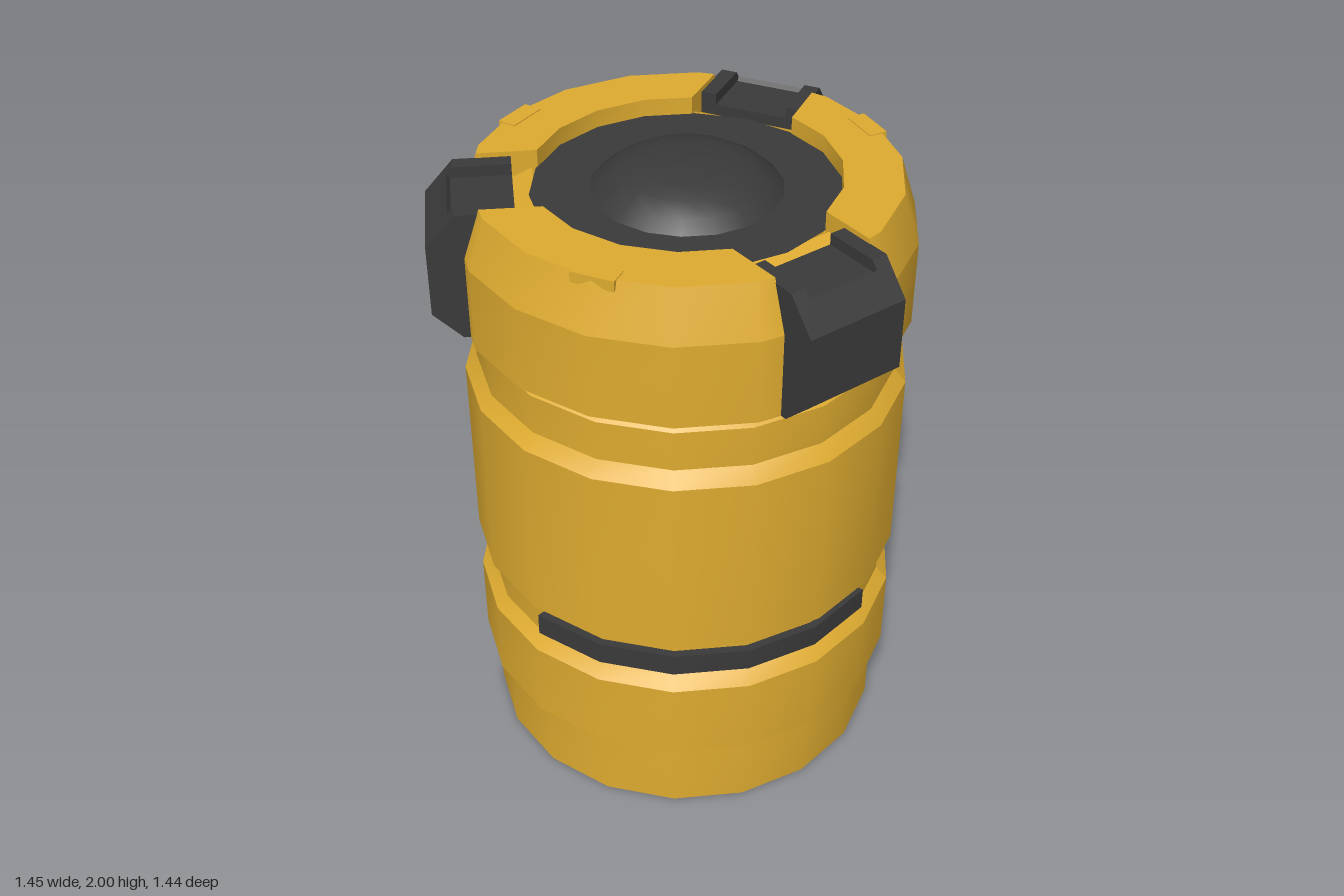
import * as THREE from 'three';

const SIDES = 18, STEP = (Math.PI * 2) / SIDES, DEG = Math.PI / 180;
const CLAMP_ANGLES = [40, 160, 280], CLAMP_HALF = 0.165;

// Sweeps an (r, y) profile through sections; angleAt(i, r) gives the angle of section i.
// Smooth around the axis, sharp between bands.
function sweep(profile, count, angleAt, closeEnds = false) {
  const pos = [], index = [];
  const point = (i, [r, y]) => {
    const a = angleAt(i, r);
    // keep every point on the chord of the 18-sided outline
    const off = a - (Math.floor(a / STEP + 1e-6) + 0.5) * STEP;
    const k = r * Math.cos(STEP / 2) / Math.cos(off);
    return [k * Math.cos(a), y, k * Math.sin(a)];
  };
  for (let j = 0; j < profile.length - 1; j++) {
    const base = pos.length / 3;
    for (let i = 0; i < count; i++) pos.push(...point(i, profile[j]), ...point(i, profile[j + 1]));
    for (let i = 0; i < count - 1; i++) {
      const a = base + i * 2;
      index.push(a, a + 1, a + 2, a + 1, a + 3, a + 2);
    }
  }
  if (closeEnds) {
    [0, count - 1].forEach((i) => {
      const base = pos.length / 3;
      profile.forEach((p) => pos.push(...point(i, p)));
      for (let j = 1; j < profile.length - 1; j++) {
        index.push(base, ...(i === 0 ? [base + j + 1, base + j] : [base + j, base + j + 1]));
      }
    });
  }
  const g = new THREE.BufferGeometry();
  g.setAttribute('position', new THREE.Float32BufferAttribute(pos, 3));
  g.setIndex(index);
  g.computeVertexNormals();
  return g;
}

// Extrudes a radial (r, y) profile across a width, offset sideways, facing an angle.
function block(profile, width, offset, angle) {
  const shape = new THREE.Shape(profile.map(([x, y]) => new THREE.Vector2(x, y)));
  const g = new THREE.ExtrudeGeometry(shape, { depth: width, bevelEnabled: false });
  g.translate(0, 0, offset - width / 2);
  return g.rotateY(-angle);
}

export function createModel() {
  const yellow = new THREE.MeshStandardMaterial({ color: 0xdeab30, side: THREE.DoubleSide });
  yellow.name = 'yellow';
  const dark = new THREE.MeshStandardMaterial({ color: 0x3a3a3a, side: THREE.DoubleSide });
  dark.name = 'dark grey';

  const model = new THREE.Group();
  model.name = 'canister';
  const add = (name, geometry, material) => {
    const mesh = new THREE.Mesh(geometry, material);
    mesh.name = name;
    model.add(mesh);
    return mesh;
  };
  const around = (i) => i * STEP;

  // Ribbed shell, open at the bottom
  add('shell', sweep([
    [0.643, 0], [0.643, 0.225], [0.68, 0.265], [0.68, 0.53], [0.643, 0.57], [0.643, 0.68],
    [0.68, 0.715], [0.68, 1.325], [0.643, 1.37], [0.643, 1.5], [0.6, 1.545],
  ], SIDES + 1, around), yellow);

  // Wrapped band on the front left
  add('band', sweep([[0.64, 0.595], [0.668, 0.595], [0.668, 0.67], [0.64, 0.67]],
    6, (i) => (20 + i * 20) * DEG, true), dark);

  // Cap: three arcs separated by straight-sided notches
  const capProfile = [[0.57, 1.545], [0.68, 1.545], [0.68, 1.81], [0.63, 1.965], [0.455, 1.965], [0.455, 1.9]];
  CLAMP_ANGLES.forEach((deg) => {
    const angleAt = (i, r) => {
      const half = Math.asin(CLAMP_HALF / r);
      const lo = deg * DEG + half, hi = (deg + 120) * DEG - half;
      if (i === 0) return lo;
      if (i === 6) return hi;
      return Math.min(hi, Math.max(lo, (deg + i * 20) * DEG));
    };
    add('capArc', sweep(capProfile, 7, angleAt, true), yellow);
  });

  // Lid plate and dome
  add('lidPlate', sweep([[0.457, 1.91], [0.001, 1.91]], SIDES + 1, around), dark);
  const dome = [[0.285, 1.91], [0.25, 1.943], [0.2, 1.975], [0.14, 1.991], [0.07, 1.998], [0, 2]];
  add('dome', new THREE.LatheGeometry(dome.map(([x, y]) => new THREE.Vector2(x, y)), SIDES, Math.PI / 2), dark);

  // Clamps: a lowered centre between two side rails, with a sloped notch floor behind
  const rail = [[0.5, 1.545], [0.67, 1.545], [0.757, 1.63], [0.757, 1.85], [0.67, 1.95], [0.5, 1.95]];
  const centre = [[0.5, 1.545], [0.67, 1.545], [0.757, 1.63], [0.757, 1.85], [0.69, 1.927], [0.68, 1.915], [0.5, 1.915]];
  const floor = [[0.44, 1.8], [0.52, 1.8], [0.52, 1.87], [0.44, 1.909]];
  CLAMP_ANGLES.forEach((deg) => {
    const a = deg * DEG;
    add('clampCentre', block(centre, 0.23, 0, a), dark);
    [-1, 1].forEach((s) => add('clampRail', block(rail, 0.05, s * 0.14, a), dark));
    add('notchFloor', block(floor, CLAMP_HALF * 2, 0, a), yellow);
  });

  // Small tabs on the cap rim
  [100, 200, 320].forEach((deg) => {
    add('rimTab', block([[0.575, 1.935], [0.633, 1.935], [0.633, 1.968], [0.575, 1.968]], 0.13, 0, deg * DEG), yellow);
  });

  // The shell sits slightly off centre because the clamps overhang unevenly
  model.children.forEach((m) => m.position.set(0.04, 0, 0.052));
  return model;
}
